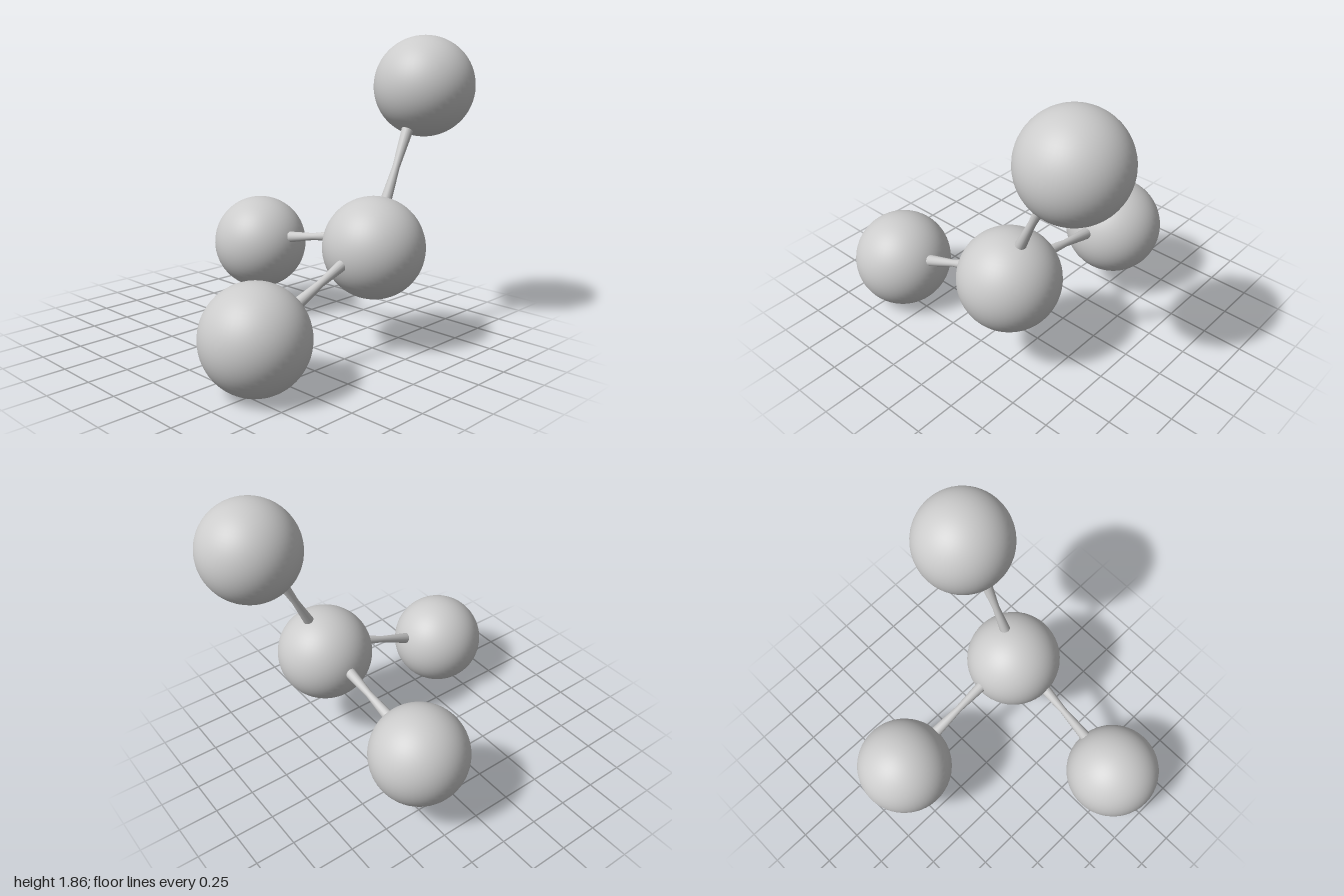
import * as THREE from 'three';

const material = new THREE.MeshStandardMaterial({ color: 0xcccccc });
const RADIUS = 0.305;

function ball(name, x, y, z) {
  const mesh = new THREE.Mesh(new THREE.SphereGeometry(RADIUS, 48, 32), material);
  mesh.name = name;
  mesh.position.set(x, y, z);
  return mesh;
}

// Rod with a narrow waist, running between two points inside the balls
function rod(name, from, to) {
  const a = new THREE.Vector3(...from);
  const b = new THREE.Vector3(...to);
  const half = a.distanceTo(b) / 2;
  const profile = [[0, -half], [0.041, -half], [0.022, 0], [0.041, half], [0, half]]
    .map(([r, y]) => new THREE.Vector2(r, y));
  const mesh = new THREE.Mesh(new THREE.LatheGeometry(profile, 16), material);
  mesh.name = name;
  mesh.position.copy(a).lerp(b, 0.5);
  mesh.quaternion.setFromUnitVectors(new THREE.Vector3(0, 1, 0), b.sub(a).normalize());
  return mesh;
}

export function createModel() {
  const model = new THREE.Group();
  model.name = 'ballAndRodModel';

  // Hub and the three outer balls
  model.add(
    ball('centreBall', 0.495, 0.628, -0.25),
    ball('upperBall', 0.495, 1.555, -0.695),
    ball('sideBall', -0.495, 0.486, -0.25),
    ball('frontBall', 0.495, 0.308, 0.695)
  );

  // Connecting rods, slightly off the ball centres
  model.add(
    rod('upperRod', [0.505, 0.78, -0.286], [0.505, 1.4, -0.574]),
    rod('sideRod', [-0.3, 0.548, -0.254], [0.3, 0.662, -0.254]),
    rod('frontRod', [0.505, 0.627, -0.08], [0.505, 0.389, 0.5])
  );
  return model;
}
